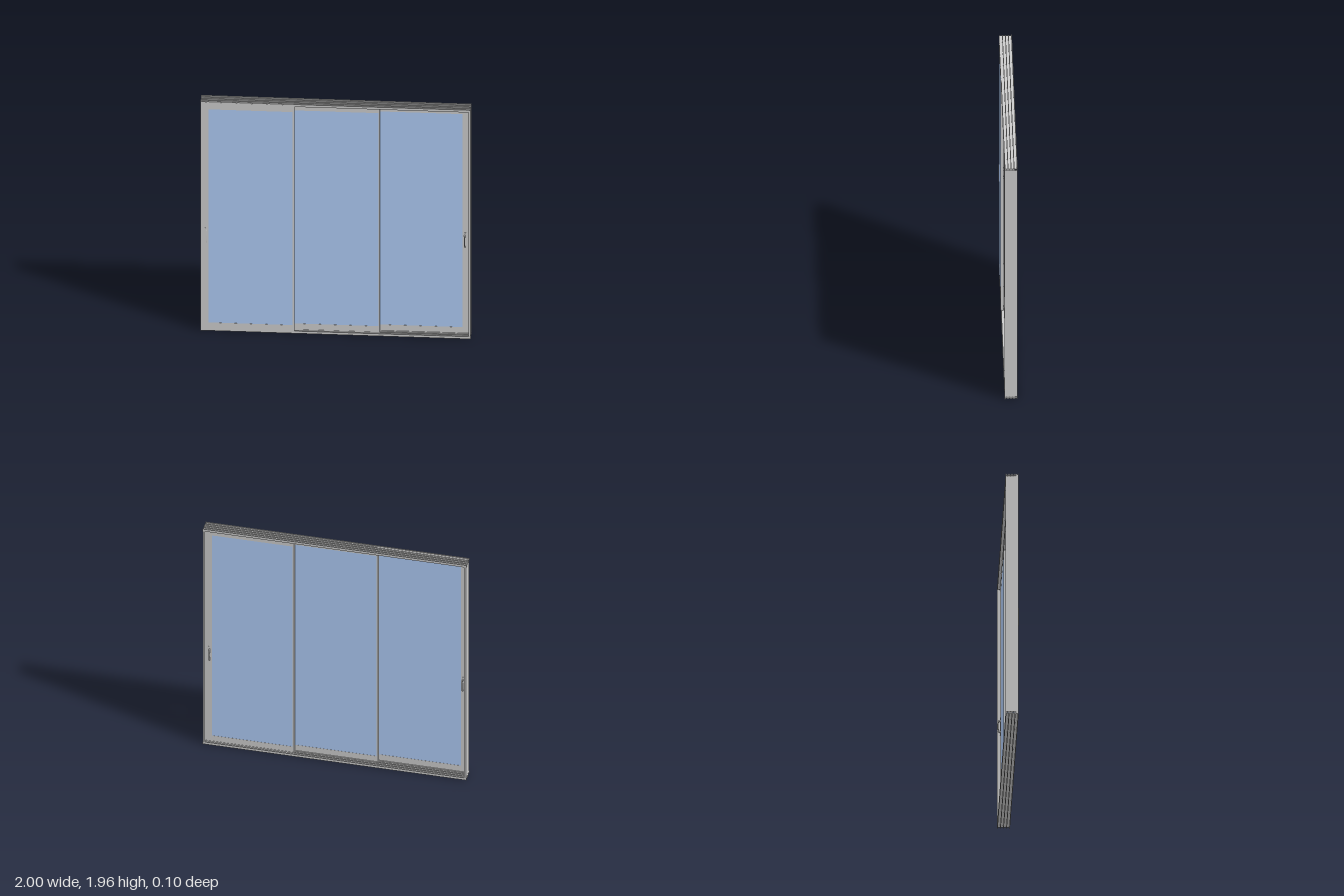
import * as THREE from 'three';

const grey = new THREE.MeshStandardMaterial({ color: 0xcccccc });
const glassBlue = new THREE.MeshStandardMaterial({ color: 0xaecbf5 });

const HEIGHT = 1.96, FRONT = 0.046, BACK = -0.05;
const GLASS_BOTTOM = 0.07, GLASS_TOP = 1.895;

// Box given by its minimum and maximum on each axis
function block(name, [x0, x1], [y0, y1], [z0, z1], material = grey) {
  const mesh = new THREE.Mesh(new THREE.BoxGeometry(x1 - x0, y1 - y0, z1 - z0), material);
  mesh.position.set((x0 + x1) / 2, (y0 + y1) / 2, (z0 + z1) / 2);
  mesh.name = name;
  return mesh;
}

// Grooved track: a web with fins above and below, run along x
function track(name, y0) {
  const group = new THREE.Group();
  group.name = name;
  group.add(block(name + 'Web', [-1, 1], [y0 + 0.007, y0 + 0.013], [BACK, FRONT]));
  const fins = 5, thick = 0.006;
  for (let i = 0; i < fins; i++) {
    const z = BACK + (FRONT - BACK - thick) * i / (fins - 1);
    group.add(block(name + 'Fin', [-1, 1], [y0, y0 + 0.02], [z, z + thick]));
  }
  return group;
}

// Side jamb: flat outer plate with shallow guide fins on the inside
function jamb(name, side) {
  const group = new THREE.Group();
  group.name = name;
  const span = (a, b) => [Math.min(side * a, side * b), Math.max(side * a, side * b)];
  group.add(block(name + 'Plate', span(0.99, 0.999), [0.02, 1.94], [BACK + 0.001, FRONT - 0.001]));
  for (const z of [BACK + 0.001, BACK + 0.024, FRONT - 0.007])
    group.add(block(name + 'Fin', span(0.983, 0.99), [0.02, 1.94], [z, z + 0.006]));
  return group;
}

// Sliding panel: rails, stiles and a pane set just below the faces
function panel(name, [x0, x1], [y0, y1], front, leftStile, rightStile) {
  const group = new THREE.Group();
  group.name = name;
  const z = [front - 0.02, front], a = x0 + leftStile, b = x1 - rightStile;
  group.add(
    block('bottomRail', [a, b], [y0, GLASS_BOTTOM], z),
    block('topRail', [a, b], [GLASS_TOP, y1], z),
    block('stile', [x0, a], [y0, y1], z),
    block('stile', [b, x1], [y0, y1], z),
    block('glass', [a, b], [GLASS_BOTTOM, GLASS_TOP], [z[0] + 0.001, z[1] - 0.001], glassBlue)
  );
  return group;
}

// Pull handle: back plate and bowed grip; depth is how far the grip stands out
function handle(name, x, z, facing, depth, inward) {
  const group = new THREE.Group();
  group.name = name;
  const plate = new THREE.Mesh(new THREE.BoxGeometry(0.011, 0.14, 0.003), grey);
  plate.name = 'handlePlate';
  plate.position.z = 0.0015;
  const bow = new THREE.Shape();
  bow.moveTo(0, -0.055);
  bow.lineTo(depth * 0.8, -0.045);
  bow.quadraticCurveTo(depth * 1.2, 0, depth * 0.8, 0.045);
  bow.lineTo(0, 0.055);
  bow.lineTo(0, 0.042);
  bow.lineTo(depth * 0.55, 0.036);
  bow.quadraticCurveTo(depth * 0.8, 0, depth * 0.55, -0.036);
  bow.lineTo(0, -0.042);
  const geometry = new THREE.ExtrudeGeometry(bow, { depth: 0.008, bevelEnabled: false, curveSegments: 8 });
  geometry.translate(0, 0, -0.004).rotateY(-Math.PI / 2);
  const grip = new THREE.Mesh(geometry, grey);
  grip.name = 'handleGrip';
  grip.position.x = inward * facing * 0.004;
  group.add(plate, grip);
  group.position.set(x, 0.81, z);
  if (facing < 0) group.rotation.y = Math.PI;
  return group;
}

export function createModel() {
  const door = new THREE.Group();
  door.name = 'slidingDoor';

  // Outer frame
  door.add(track('sill', 0), track('head', HEIGHT - 0.02), jamb('rightJamb', -1), jamb('leftJamb', 1));

  // Three panels stepping back from the model's right to its left
  const fronts = [FRONT + 0.0005, 0.021, -0.005];
  door.add(
    panel('frontPanel', [-0.999, -0.305], [0.005, 1.955], fronts[0], 0.059, 0.013),
    panel('middlePanel', [-0.318, 0.325], [0.012, 1.948], fronts[1], 0.012, 0.009),
    panel('rearPanel', [0.312, 0.985], [0.012, 1.948], fronts[2], 0.012, 0.049)
  );

  // Raised strip where the front panel meets the middle one
  door.add(block('interlock', [-0.317, -0.306], [0.02, 1.94], [fronts[0], fronts[0] + 0.001]));

  // Handles on both faces of the end panels
  door.add(
    handle('frontHandle', -0.96, fronts[0], 1, 0.004, 1),
    handle('frontPanelInnerHandle', -0.96, fronts[0] - 0.02, -1, 0.025, 1),
    handle('rearPanelInnerHandle', 0.957, fronts[2], 1, 0.025, -1),
    handle('rearHandle', 0.957, fronts[2] - 0.02, -1, 0.022, -1)
  );
  return door;
}
